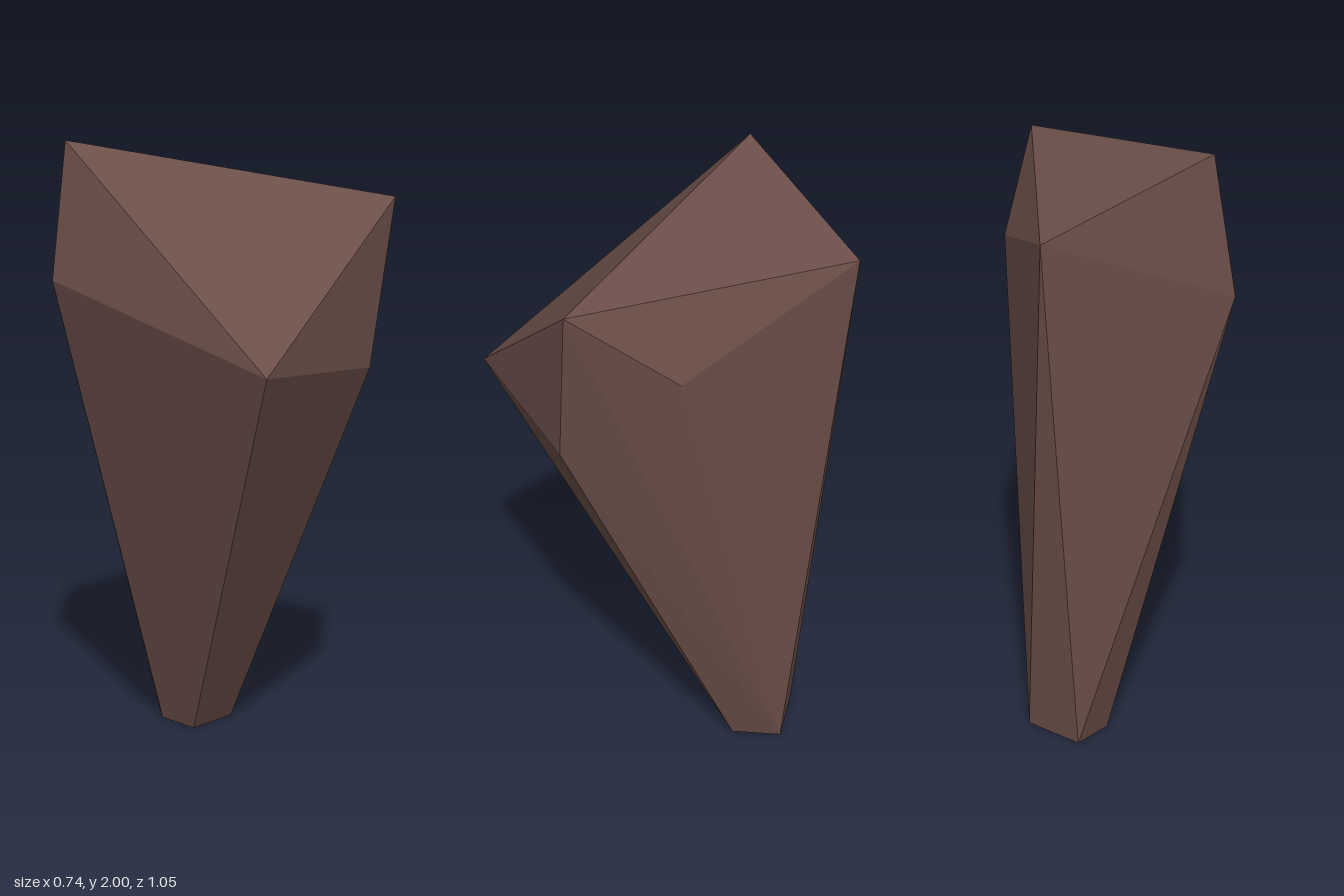
import * as THREE from 'three';
import { ConvexGeometry } from 'three/addons/geometries/ConvexGeometry.js';

export function createModel() {
  const group = new THREE.Group();
  group.name = 'rockShard';

  // Corners of the faceted shard: wide crown above, small five-sided foot below
  const crown = [
    [-0.30, 2.00, -0.38], [0.30, 1.84, 0.48], [0.20, 1.765, -0.525],
    [0.365, 1.57, 0.14], [-0.37, 1.56, -0.375],
    [-0.345, 1.36, 0.525], [0.20, 1.31, 0.47],
  ];
  const foot = [
    [0.02, 0, -0.13], [0.20, 0, -0.125], [0.28, 0, -0.27],
    [0.11, 0, -0.39], [0.02, 0, -0.28],
  ];
  const corners = [...crown, ...foot].map((p) => new THREE.Vector3(...p));

  const brownStone = new THREE.MeshStandardMaterial({ color: 0x6b4e48 });
  brownStone.name = 'brownStone';

  // The convex hull has one flat normal per facet
  const shard = new THREE.Mesh(new ConvexGeometry(corners), brownStone);
  shard.name = 'shard';
  group.add(shard);
  return group;
}
